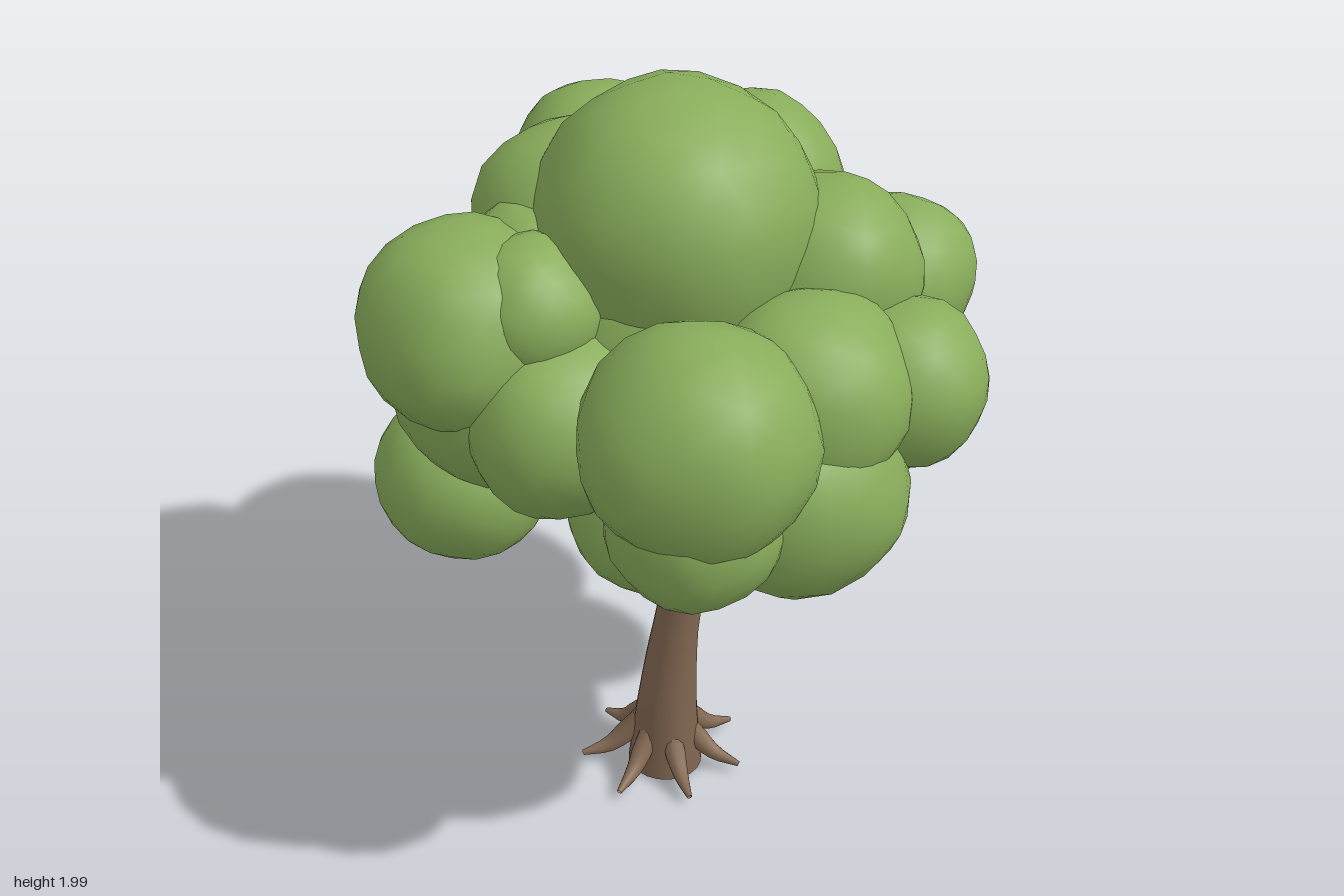
import * as THREE from 'three';
import { mergeVertices } from 'three/addons/utils/BufferGeometryUtils.js';

const leaf = new THREE.MeshStandardMaterial({ color: 0x89ad5b });
leaf.name = 'leafGreen';
const bark = new THREE.MeshStandardMaterial({ color: 0x846953, side: THREE.DoubleSide });
bark.name = 'barkBrown';

// Slightly lumpy ball of leaves with smooth normals
function leafBall(r, seed) {
  let geo = new THREE.IcosahedronGeometry(1, 3);
  geo.deleteAttribute('uv');
  geo.deleteAttribute('normal');
  geo = mergeVertices(geo, 1e-4);
  const p = geo.attributes.position;
  const v = new THREE.Vector3();
  for (let i = 0; i < p.count; i++) {
    v.fromBufferAttribute(p, i);
    const bump = Math.sin(v.x * 4.1 + seed * 1.7) * Math.sin(v.y * 4.7 + seed * 2.3) + Math.sin(v.z * 5.3 + seed) * Math.sin(v.x * 3.7 - seed);
    v.multiplyScalar(r * (1 + 0.025 * bump));
    p.setXYZ(i, v.x, v.y, v.z);
  }
  geo.computeVertexNormals();
  return geo;
}

// Round limb that follows a curve, with a radius for each evenly spaced stage
function limb(name, points, radii, steps = 12, sides = 14) {
  const curve = new THREE.CatmullRomCurve3(points.map((q) => new THREE.Vector3(...q)));
  const geo = new THREE.TubeGeometry(curve, steps, 1, sides, false);
  const p = geo.attributes.position;
  const v = new THREE.Vector3();
  const centre = new THREE.Vector3();
  for (let i = 0; i <= steps; i++) {
    const t = (i / steps) * (radii.length - 1);
    const k = Math.min(Math.floor(t), radii.length - 2);
    const r = THREE.MathUtils.lerp(radii[k], radii[k + 1], t - k);
    curve.getPointAt(i / steps, centre);
    for (let j = 0; j <= sides; j++) {
      const n = i * (sides + 1) + j;
      v.fromBufferAttribute(p, n).sub(centre).multiplyScalar(r).add(centre);
      p.setXYZ(n, v.x, v.y, v.z);
    }
  }
  const mesh = new THREE.Mesh(geo, bark);
  mesh.name = name;
  return mesh;
}

// Leaf balls as x, y, z, radius
const upperLeaves = [
  [-0.005, 1.65, 0.035, 0.35],
  [-0.165, 1.58, -0.19, 0.25],
  [0.01, 1.56, -0.42, 0.23],
  [0.32, 1.54, -0.22, 0.245],
  [0.32, 1.52, 0.19, 0.235],
  [-0.4, 1.54, 0.08, 0.175],
  [-0.3, 1.52, -0.07, 0.2],
  [-0.52, 1.47, -0.02, 0.26],
];
const middleLeaves = [
  [-0.185, 1.37, 0.52, 0.28],
  [0.15, 1.36, 0.43, 0.25],
  [0.4, 1.32, 0.43, 0.21],
  [0.575, 1.39, 0.09, 0.2],
  [0.475, 1.22, -0.21, 0.285],
  [0.28, 1.31, -0.53, 0.27],
  [-0.38, 1.29, 0.19, 0.23],
  [-0.45, 1.31, 0, 0.25],
  [-0.28, 1.35, -0.3, 0.2],
  [0, 1.33, 0, 0.42],
];
const lowerLeaves = [
  [0.1, 1.14, 0.46, 0.275],
  [-0.2, 1.17, 0.54, 0.21],
  [0.47, 0.995, 0.06, 0.21],
  [-0.52, 1.02, -0.08, 0.22],
  [-0.27, 1.09, -0.4, 0.235],
  [0.22, 1.01, -0.36, 0.2],
  [0.2, 1.01, -0.18, 0.19],
  [-0.17, 1.03, 0.26, 0.215],
  [0.28, 1.06, 0.25, 0.21],
  [0.03, 1.04, 0.1, 0.21],
  [-0.02, 1.14, -0.33, 0.2],
];

export function createModel() {
  const model = new THREE.Group();
  model.name = 'tree';

  // Curved hollow-footed trunk
  model.add(limb('trunk',
    [[-0.033, 0.01, 0.036], [-0.027, 0.2, 0.037], [-0.009, 0.4, 0.039], [0.017, 0.6, 0.045], [0.025, 0.8, 0.05], [0.025, 1.1, 0.05]],
    [0.098, 0.077, 0.06, 0.052, 0.048, 0.035], 20, 20));

  // Branches reaching into the crown
  const branches = [
    [[0.02, 0.58, 0.04], [0.1, 0.67, 0.04], [0.24, 0.79, 0.04], [0.44, 0.92, 0.04]],
    [[0.015, 0.62, 0.04], [0.02, 0.7, -0.03], [0.04, 0.82, -0.16], [0.06, 0.98, -0.32]],
    [[0.02, 0.7, 0.05], [-0.02, 0.78, 0.04], [-0.07, 0.87, 0.03], [-0.17, 1.02, 0.03]],
  ];
  branches.forEach((path, i) => model.add(limb('branch' + (i + 1), path, [0.038, 0.031, 0.024, 0.016])));

  // Pointed roots fanned around the foot
  const rootCount = 7;
  for (let i = 0; i < rootCount; i++) {
    const a = (i / rootCount) * Math.PI * 2 + Math.PI / 4;
    const ring = (d, y) => [-0.033 + Math.cos(a) * d, y, 0.022 + Math.sin(a) * d];
    model.add(limb('root' + (i + 1),
      [ring(0.06, 0.15), ring(0.095, 0.1), ring(0.145, 0.055), ring(0.215, 0.032)],
      [0.022, 0.029, 0.02, 0.007], 8, 10));
  }

  // Crown of overlapping leaf balls
  const crown = new THREE.Group();
  crown.name = 'crown';
  const layers = { upperLeaves, middleLeaves, lowerLeaves };
  let seed = 1;
  for (const [name, balls] of Object.entries(layers)) {
    for (const [x, y, z, r] of balls) {
      const ball = new THREE.Mesh(leafBall(r, seed), leaf);
      ball.name = name;
      ball.position.set(x, y, z);
      ball.rotation.y = seed++ * 1.3;
      crown.add(ball);
    }
  }
  model.add(crown);
  return model;
}
